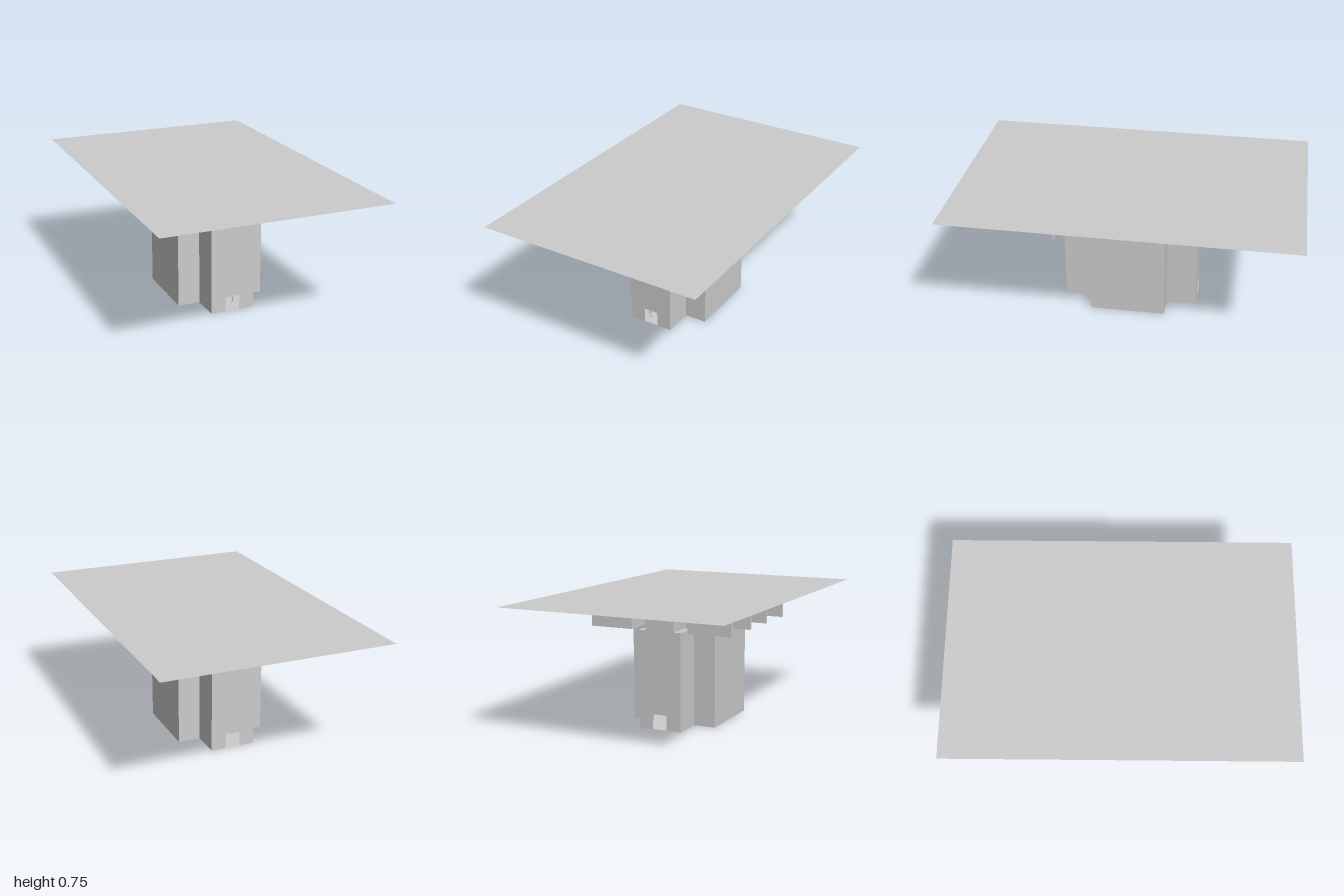
import * as THREE from 'three';

export function createModel() {
  const group = new THREE.Group();
  const mat = new THREE.MeshStandardMaterial({ color: 0xcccccc, flatShading: true, side: THREE.DoubleSide });
  const add = (geometry, name, parent = group) => {
    const mesh = new THREE.Mesh(geometry, mat);
    mesh.name = name;
    parent.add(mesh);
    return mesh;
  };
  const shapeOf = pts => new THREE.Shape(pts.map(p => new THREE.Vector2(...p)));

  // Main levels and the half sizes of the cross-shaped tower
  const towerTop = 0.575, beamMid = 0.663, roofY = 0.75;
  const ax = 0.265, bx = 0.133, az = 0.398, bz = 0.22;
  const cross = [
    [bx, -az], [bx, -bz], [ax, -bz], [ax, bz], [bx, bz], [bx, az],
    [-bx, az], [-bx, bz], [-ax, bz], [-ax, -bz], [-bx, -bz], [-bx, -az],
  ];

  // Roof sheet
  add(new THREE.PlaneGeometry(1.33, 2).rotateX(-Math.PI / 2), 'roof').position.y = roofY;

  // Hollow tower: floor, ceiling and plain walls
  const tower = new THREE.Group();
  tower.name = 'tower';
  group.add(tower);
  for (const [y, name] of [[0, 'towerFloor'], [towerTop, 'towerCeiling']]) {
    add(new THREE.ShapeGeometry(shapeOf(cross)).rotateX(-Math.PI / 2), name, tower).position.y = y;
  }
  cross.forEach(([x0, z0], i) => {
    const [x1, z1] = cross[(i + 1) % cross.length];
    if (Math.abs(z0) === az && z0 === z1) return; // the end walls have doorways
    const wall = add(new THREE.PlaneGeometry(Math.hypot(x1 - x0, z1 - z0), towerTop), 'towerWall', tower);
    wall.position.set((x0 + x1) / 2, towerTop / 2, (z0 + z1) / 2);
    wall.rotation.y = Math.atan2(x1 - x0, z1 - z0) + Math.PI / 2;
  });

  // End walls with an open doorway
  const dw = 0.044, dh = 0.088;
  const doorWall = shapeOf([
    [-bx, 0], [-dw, 0], [-dw, dh], [dw, dh], [dw, 0], [bx, 0], [bx, towerTop], [-bx, towerTop],
  ]);
  for (const s of [1, -1]) {
    const wall = add(new THREE.ShapeGeometry(doorWall), 'doorWall', tower);
    wall.position.z = s * az;
    wall.rotation.y = s > 0 ? 0 : Math.PI;
  }

  // Folded beam: straight arms, two recesses and a projecting middle
  const depth = 0.177, t = 0.02, w = 0.004, arm = 0.442, outer = 0.177, inner = 0.0885;
  const half = [ // right half, outer edge then inner edge; y is measured inward
    [inner, 0], [inner, depth - t], [outer, depth - t], [outer, 0], [arm, 0],
    [arm, t], [outer + w, t], [outer + w, depth], [inner - w, depth], [inner - w, t],
  ];
  const mirrored = half.map(([x, y]) => [-x, y]).reverse();
  const beamShape = shapeOf([...half, ...mirrored]);
  const rows = [[0.398, towerTop], [0.265, beamMid], [0.132, towerTop]];
  for (const [z, y] of rows) {
    for (const s of [1, -1]) {
      const geometry = new THREE.ExtrudeGeometry(beamShape, { depth: beamMid - towerTop - 0.001, bevelEnabled: false });
      const beam = add(geometry.rotateX(-Math.PI / 2), 'foldedBeam');
      beam.position.set(0, y, s * z);
      beam.rotation.y = s > 0 ? 0 : Math.PI;
    }
  }

  // Small standing figure in the front doorway
  const figure = new THREE.Group();
  figure.name = 'figure';
  figure.position.z = 0.4;
  group.add(figure);
  const limb = (x0, y0, x1, y1, name) => {
    const m = add(new THREE.BoxGeometry(0.003, Math.hypot(x1 - x0, y1 - y0), 0.003), name, figure);
    m.position.set((x0 + x1) / 2, (y0 + y1) / 2, 0);
    m.rotation.z = -Math.atan2(x1 - x0, y1 - y0);
  };
  limb(0, 0.06, 0, 0.088, 'body');
  for (const s of [1, -1]) {
    limb(0, 0.086, s * 0.018, 0.07, 'arm');
    limb(0, 0.064, s * 0.006, 0.044, 'leg');
  }
  return group;
}
